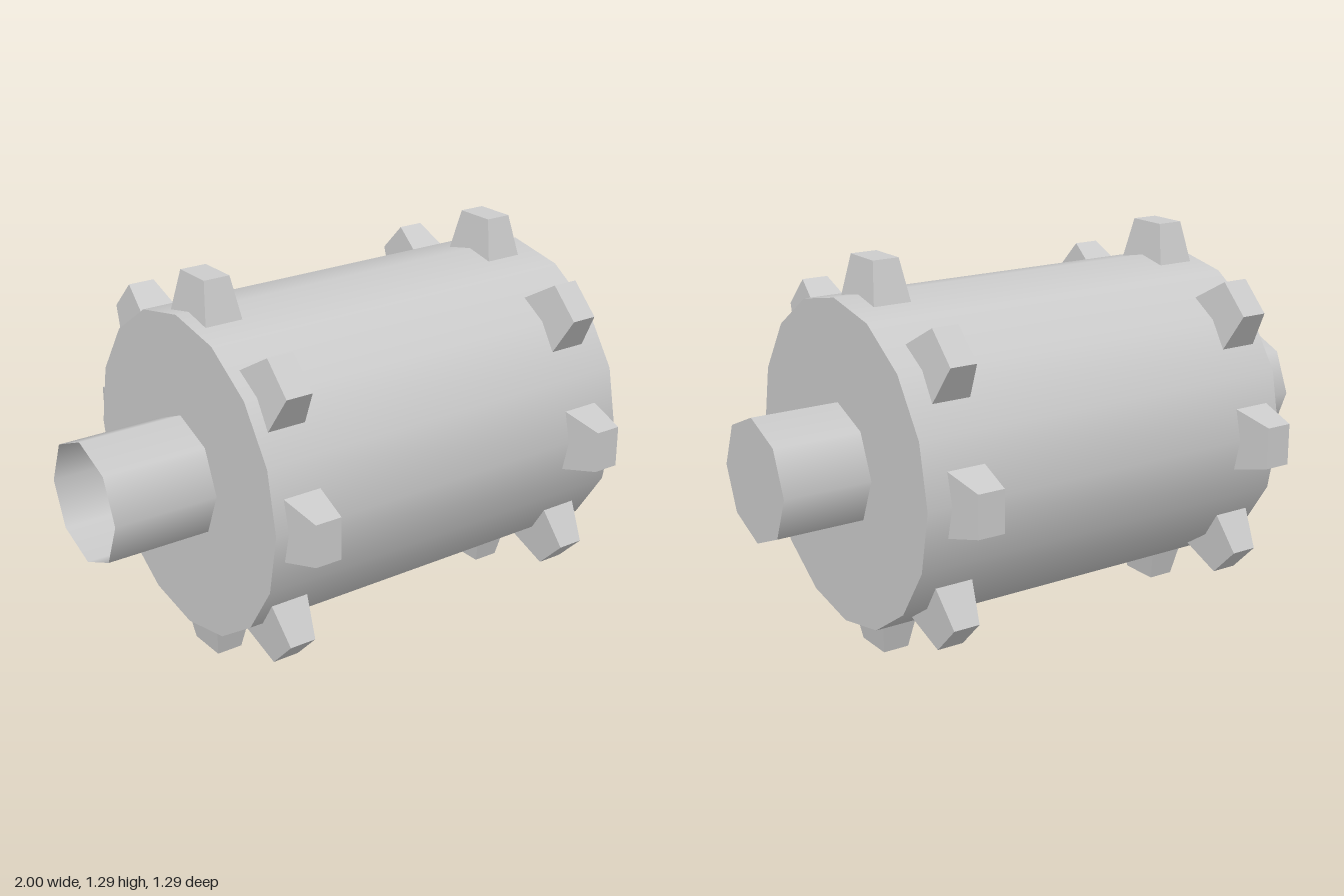
import * as THREE from 'three';

const AXIS_Y = 0.65;

// Trapezoid tooth pointing up from the axle axis, narrowing outwards
function toothGeometry() {
  const inner = 0.49, outer = 0.646;
  const geo = new THREE.BoxGeometry(2, outer - inner, 2);
  geo.translate(0, (inner + outer) / 2, 0);
  const pos = geo.attributes.position;
  for (let i = 0; i < pos.count; i++) {
    const top = pos.getY(i) > (inner + outer) / 2;
    pos.setX(i, pos.getX(i) * (top ? 0.045 : 0.068));
    pos.setZ(i, pos.getZ(i) * (top ? 0.069 : 0.109));
  }
  geo.computeVertexNormals();
  return geo;
}

export function createModel() {
  const model = new THREE.Group();
  model.name = 'toothedRoller';
  const grey = new THREE.MeshStandardMaterial({ color: 0xcccccc });
  const greyDouble = new THREE.MeshStandardMaterial({ color: 0xcccccc, side: THREE.DoubleSide });

  const add = (name, geo, mat, x) => {
    const mesh = new THREE.Mesh(geo, mat);
    mesh.name = name;
    mesh.position.set(x, AXIS_Y, 0);
    model.add(mesh);
    return mesh;
  };

  // Drum
  add('drum', new THREE.CylinderGeometry(0.532, 0.532, 1.36, 16).rotateZ(-Math.PI / 2), grey, 0.028);

  // Axle: eight-sided tube, closed on the +x end and open on the other
  add('axle', new THREE.CylinderGeometry(0.202, 0.202, 2, 8, 1, true).rotateZ(-Math.PI / 2), greyDouble, 0);
  add('axleCap', new THREE.CircleGeometry(0.202, 8).rotateY(Math.PI / 2), grey, 1);

  // Two rings of eight teeth
  const tooth = toothGeometry();
  for (const [ring, x] of [['right', -0.545], ['left', 0.563]]) {
    for (let i = 0; i < 8; i++) {
      add(ring + 'Tooth' + (i + 1), tooth, grey, x).rotation.x = (i * Math.PI) / 4;
    }
  }
  return model;
}
